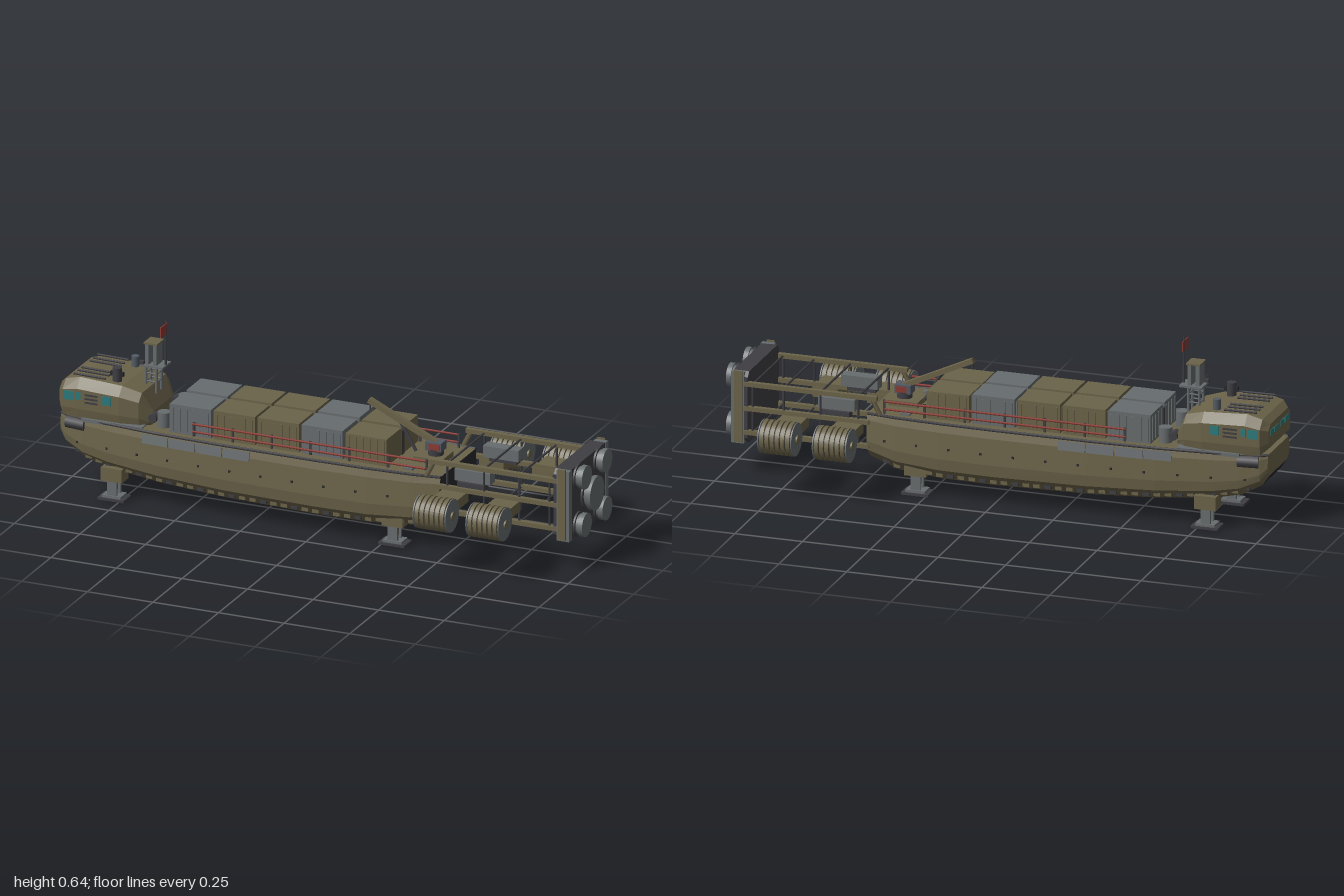
import * as THREE from 'three';

const mat = (name, color) => Object.assign(new THREE.MeshStandardMaterial({ color }), { name });
const KHAKI = mat('khaki', 0x6b6349), GREY = mat('grey', 0x676c6e), DARK = mat('dark grey', 0x3f3e43),
  BLACK = mat('near black', 0x28282c), RED = mat('red', 0x8a3a32), TEAL = mat('teal glass', 0x2c7a7c),
  STEEL = mat('blue grey', 0x535a64);

export function createModel() {
  const model = new THREE.Group();
  model.name = 'cargoShip';

  const add = (name, geo, material) => {
    const m = new THREE.Mesh(geo, material);
    m.name = name;
    model.add(m);
    return m;
  };
  // box given by its limits
  const box = (name, material, x0, x1, y0, y1, z0, z1) => {
    const m = add(name, new THREE.BoxGeometry(x1 - x0, y1 - y0, Math.abs(z1 - z0)), material);
    m.position.set((x0 + x1) / 2, (y0 + y1) / 2, (z0 + z1) / 2);
    return m;
  };
  // round or square bar between two points
  const bar = (name, material, a, b, r, sides = 8, r2 = r) => {
    const p = new THREE.Vector3(...a), q = new THREE.Vector3(...b), d = q.clone().sub(p);
    const m = add(name, new THREE.CylinderGeometry(r2, r, d.length(), sides), material);
    m.position.copy(p).add(q).multiplyScalar(0.5);
    m.quaternion.setFromUnitVectors(new THREE.Vector3(0, 1, 0), d.normalize());
    return m;
  };
  // loft along x: half sections [z, y] run from the keel up to the deck and are mirrored
  const loft = (name, stations, half, segMats, capMats, materials) => {
    const rings = stations.map(s => {
      const h = half(s);
      return [...h, ...h.map(([z, y]) => [-z, y]).reverse()].map(([z, y]) => [s[0], y, z]);
    });
    const parts = materials.map(() => []), n = rings[0].length;
    const tri = (k, ...p) => parts[k].push(...p.flat());
    for (let i = 0; i + 1 < rings.length; i++) for (let j = 0; j < n; j++) {
      const k = (j + 1) % n, a = rings[i][j], b = rings[i][k], c = rings[i + 1][k], d = rings[i + 1][j];
      tri(segMats[j], a, d, c);
      tri(segMats[j], a, c, b);
    }
    const f = rings[0], l = rings[rings.length - 1];
    for (let j = 1; j + 1 < n; j++) {
      tri(capMats[0], f[0], f[j], f[j + 1]);
      tri(capMats[1], l[0], l[j + 1], l[j]);
    }
    const geo = new THREE.BufferGeometry();
    let start = 0;
    parts.forEach((p, k) => { geo.addGroup(start, p.length / 3, k); start += p.length / 3; });
    geo.setAttribute('position', new THREE.Float32BufferAttribute(parts.flat(), 3));
    geo.computeVertexNormals();
    return add(name, geo, materials);
  };

  // hull stations: x, half width, keel height
  const hull = [[-0.995, 0.115, 0.2], [-0.97, 0.13, 0.163], [-0.9, 0.145, 0.125], [-0.8, 0.158, 0.104],
    [-0.6, 0.178, 0.086], [-0.35, 0.188, 0.073], [0, 0.19, 0.066], [0.2, 0.186, 0.067], [0.36, 0.177, 0.08], [0.47, 0.162, 0.115]];
  loft('hull', hull, ([, w, b]) => [[0.76, 0], [0.97, 0.2], [1, 0.4], [0.97, 0.85], [0.93, 1]]
    .map(([k, t]) => [w * k, b + (0.28 - b) * t]), [0, 0, 0, 0, 0, 0, 0, 0, 0, 1], [0, 1], [KHAKI, BLACK]);
  const hullAt = x => {
    const i = Math.max(1, hull.findIndex(s => s[0] >= x)), a = hull[i - 1], b = hull[i];
    const t = (x - a[0]) / (b[0] - a[0]);
    return [a[1] + (b[1] - a[1]) * t, a[2] + (b[2] - a[2]) * t];
  };

  for (const s of [1, -1]) {
    // deck edge rail, hull studs and keel fittings follow the hull outline
    for (let i = 0; i < hull.length - 1; i++) {
      const [a, b] = [hull[i], hull[i + 1]];
      bar('deckEdge', DARK, [a[0], 0.279, s * a[1] * 0.935], [b[0], 0.279, s * b[1] * 0.935], 0.005, 6);
    }
    for (let i = 0; i < 34; i++) {
      const x = -0.92 + i * 0.04, [w, b] = hullAt(x);
      box('keelFitting', i % 3 ? KHAKI : DARK, x - 0.012, x + 0.012, b + 0.012, b + 0.03, s * w * 0.8, s * (w * 0.865 + 0.004));
      if (i % 3 === 0) box('hullStud', BLACK, x - 0.004, x + 0.004, 0.186, 0.194, s * (w - 0.008), s * (w + 0.001));
    }
    // grey flank panels
    for (let x = -0.66; x < -0.3; x += 0.105) {
      const w = (hullAt(x)[0] + hullAt(x + 0.1)[0]) / 2;
      const p = box('flankPanel', GREY, x, x + 0.1, 0.238, 0.27, s * (w * 0.966 - 0.002), s * (w * 0.966 + 0.004));
      p.rotation.x = -s * 0.15;
      p.rotation.y = -s * Math.atan2(hullAt(x + 0.1)[0] - hullAt(x)[0], 0.1);
    }
    // red cargo pipes
    for (const y of [0.298, 0.326]) bar('cargoPipe', RED, [-0.48, y, s * 0.141], [0.41, y, s * 0.141], 0.004, 6);
    for (let x = -0.48; x < 0.42; x += 0.148) box('pipeBracket', DARK, x, x + 0.008, 0.28, 0.332, s * 0.135, s * 0.14);
  }

  // containers, two rows of five
  [GREY, KHAKI, KHAKI, GREY, KHAKI].forEach((m, i) => {
    const x = -0.57 + i * 0.1675;
    for (const s of [1, -1]) {
      box('container', m, x, x + 0.157, 0.28, i === 4 ? 0.38 : 0.386, s * 0.009, s * 0.134);
      for (let k = 0; k < 6; k++) {
        const rx = x + 0.008 + k * 0.0265;
        box('containerRib', m, rx, rx + 0.008, 0.288, 0.374, s * 0.132, s * 0.1375);
      }
      for (let k = 0; k < 4; k++) box('containerEndRib', m, x - 0.003, x, 0.288, 0.374, s * (0.02 + k * 0.03), s * (0.028 + k * 0.03));
    }
    box('containerGap', DARK, x - 0.004, x + 0.161, 0.28, 0.372, -0.009, 0.009);
  });

  // bridge cabin
  const cabin = [[-0.998, 0.115, 0.305, 0.39], [-0.975, 0.142, 0.285, 0.41], [-0.92, 0.144, 0.28, 0.424], [-0.76, 0.144, 0.28, 0.415],
    [-0.69, 0.13, 0.28, 0.395], [-0.655, 0.1, 0.28, 0.325]];
  loft('bridgeCabin', cabin, ([, w, b, t]) => [[0.95, 0], [1, 0.25], [1, 0.76], [0.79, 1]]
    .map(([k, f]) => [w * k, b + (t - b) * f]), Array(8).fill(0), [0, 0], [KHAKI]);
  box('cabinBase', GREY, -0.9, -0.67, 0.272, 0.284, -0.148, 0.148);
  box('sensorBlock', GREY, -0.88, -0.72, 0.455, 0.456, -0.002, 0.002).visible = false;
  for (const s of [1, -1]) {
    box('sideWindow', TEAL, -0.968, -0.93, 0.345, 0.378, s * 0.142, s * 0.146);
    box('sideWindow', TEAL, -0.925, -0.905, 0.35, 0.378, s * 0.142, s * 0.146);
    box('aftWindow', TEAL, -0.825, -0.79, 0.345, 0.378, s * 0.142, s * 0.146);
    for (let i = 0; i < 3; i++) box('sideVent', DARK, -0.89, -0.84, 0.34 + i * 0.014, 0.347 + i * 0.014, s * 0.142, s * 0.146);
    bar('chinPod', DARK, [-0.965, 0.255, s * 0.118], [-0.89, 0.255, s * 0.128], 0.025, 10);
    // front windows
    for (let i = 0; i < 2; i++) box('frontWindow', TEAL, -1, -0.996, 0.347, 0.367, s * (0.012 + i * 0.045), s * (0.05 + i * 0.045));
    // roof rails
    for (const z of [0.035, 0.065, 0.1]) bar('roofRail', DARK, [-0.95, 0.428, s * z], [-0.83, 0.426, s * z], 0.004, 6);
    // deck winches behind the cabin
    bar('winch', GREY, [-0.61, 0.28, s * 0.09], [-0.61, 0.335, s * 0.09], 0.024, 12);
    bar('winchDrum', DARK, [-0.645, 0.31, s * 0.075], [-0.645, 0.31, s * 0.115], 0.016, 10);
    box('deckHatch', GREY, 0.32, 0.355, 0.28, 0.288, s * 0.105, s * 0.135);
  }
  bar('roofTurret', DARK, [-0.795, 0.41, 0.077], [-0.795, 0.466, 0.077], 0.017, 16);
  box('turretArm', BLACK, -0.82, -0.77, 0.435, 0.45, 0.07, 0.084);
  bar('roofVent', STEEL, [-0.795, 0.41, -0.078], [-0.795, 0.455, -0.078], 0.014, 16);

  // mast with its lattice, aerial and flag
  for (const x of [-0.71, -0.67]) for (const z of [-0.021, 0.021]) bar('mastLeg', GREY, [x, 0.37, z], [x, 0.47, z], 0.005, 6);
  for (const y of [0.41, 0.44]) {
    for (const z of [-0.021, 0.021]) bar('mastBrace', GREY, [-0.71, y, z], [-0.67, y, z], 0.003, 6);
    for (const x of [-0.71, -0.67]) bar('mastBrace', GREY, [x, y, -0.021], [x, y, 0.021], 0.003, 6);
  }
  box('mastPlatform', GREY, -0.725, -0.64, 0.466, 0.473, -0.036, 0.036);
  for (const x of [-0.705, -0.675]) box('radarPanel', GREY, x - 0.007, x + 0.007, 0.473, 0.55, -0.027, 0.027);
  box('mastCap', KHAKI, -0.716, -0.664, 0.549, 0.555, -0.031, 0.031);
  box('mastLamp', DARK, -0.73, -0.715, 0.472, 0.485, 0.02, 0.034);
  bar('aerial', DARK, [-0.645, 0.47, 0], [-0.645, 0.64, 0], 0.005, 8, 0.002);
  box('flag', RED, -0.647, -0.643, 0.587, 0.625, -0.011, 0.044);

  // crane
  box('craneBase', KHAKI, 0.32, 0.43, 0.28, 0.3, -0.05, 0.05);
  bar('craneTurret', DARK, [0.385, 0.3, 0], [0.385, 0.325, 0], 0.028, 12);
  box('craneCab', STEEL, 0.355, 0.415, 0.318, 0.35, -0.024, 0.024);
  for (const s of [1, -1]) box('craneMark', RED, 0.37, 0.41, 0.323, 0.345, s * 0.024, s * 0.027);
  const boom = box('craneBoom', KHAKI, 0.118, 0.402, 0.394, 0.412, -0.011, 0.011);
  boom.rotation.z = -0.44;
  bar('craneRam', DARK, [0.31, 0.3, 0], [0.25, 0.4, 0], 0.006, 8);
  bar('craneHook', DARK, [0.135, 0.46, 0], [0.135, 0.43, 0], 0.003, 6);

  // tail truss
  const rods = [0.5, 0.64, 0.775, 0.89];
  for (const s of [1, -1]) {
    for (const [y, x0] of [[0.34, 0.43], [0.25, 0.46], [0.162, 0.46]]) box('trussBeam', KHAKI, x0, 0.92, y - 0.008, y + 0.008, s * 0.152, s * 0.17);
    bar('trussBrace', KHAKI, [0.42, 0.282, s * 0.161], [0.45, 0.34, s * 0.161], 0.009, 4);
    for (const x of rods) bar('trussPost', DARK, [x, 0.158, s * 0.161], [x, 0.345, s * 0.161], 0.004, 6);
    box('pumpBox', GREY, 0.52, 0.655, 0.275, 0.317, s * 0.1, s * 0.145);
    box('pumpBracket', DARK, 0.535, 0.64, 0.255, 0.275, s * 0.12, s * 0.158);
  }
  for (const x of rods) for (const y of [0.34, 0.162]) bar('trussTie', DARK, [x, y, -0.155], [x, y, 0.155], 0.004, 6);

  // ribbed side tanks on arms
  for (const s of [1, -1]) for (const x of [0.53, 0.732]) {
    const z = s * 0.328, y = 0.217;
    box('tankArm', KHAKI, x - 0.046, x + 0.046, 0.205, 0.243, s * 0.15, s * 0.29);
    bar('tankStrut', KHAKI, [x, 0.185, s * 0.245], [x, 0.222, s * 0.185], 0.008, 4);
    bar('tankCore', BLACK, [x - 0.06, y, z], [x + 0.06, y, z], 0.053, 24);
    for (let i = 0; i < 6; i++) {
      const rx = x - 0.055 + i * 0.0192;
      bar('tankRib', KHAKI, [rx, y, z], [rx + 0.014, y, z], 0.061, 24);
    }
    for (const e of [1, -1]) {
      bar('tankEnd', GREY, [x + e * 0.059, y, z], [x + e * 0.063, y, z], 0.06, 24);
      bar('tankHub', KHAKI, [x + e * 0.062, y, z], [x + e * 0.069, y, z], 0.015, 16);
    }
  }

  // engine block: octagonal plate, side posts and five nozzles
  const plate = new THREE.Shape([[-0.145, 0.12], [0.145, 0.12], [0.165, 0.14], [0.165, 0.365], [0.148, 0.382], [-0.148, 0.382], [-0.165, 0.365], [-0.165, 0.14]]
    .map(p => new THREE.Vector2(...p)));
  const plateMesh = add('enginePlate', new THREE.ExtrudeGeometry(plate, { depth: 0.058, bevelEnabled: false }), DARK);
  plateMesh.rotation.y = Math.PI / 2;
  plateMesh.position.x = 0.907;
  for (const s of [1, -1]) {
    box('enginePost', GREY, 0.92, 0.968, 0.12, 0.382, s * 0.146, s * 0.168);
    box('enginePostTrim', KHAKI, 0.925, 0.955, 0.125, 0.388, s * 0.168, s * 0.173);
  }
  const nozzle = (y, z, r) => {
    bar('nozzleCollar', DARK, [0.962, y, z], [0.972, y, z], r * 1.05, 24);
    bar('nozzleBody', GREY, [0.97, y, z], [0.982, y, z], r * 0.85, 24);
    bar('nozzleRim', GREY, [0.982, y, z], [1, y, z], r, 24);
  };
  nozzle(0.25, 0, 0.062);
  for (const y of [0.34, 0.162]) for (const z of [-0.088, 0.088]) nozzle(y, z, 0.043);

  // landing legs
  for (const x of [-0.78, 0.29]) for (const s of [1, -1]) {
    box('legHousing', KHAKI, x - 0.04, x + 0.04, 0.07, 0.12, s * 0.105, s * 0.163);
    for (const z of [0.12, 0.154]) box('legStrut', GREY, x - 0.018, x + 0.018, 0.012, 0.08, s * (z - 0.005), s * (z + 0.005));
    box('legPiston', KHAKI, x - 0.012, x + 0.012, 0.035, 0.08, s * 0.13, s * 0.144);
    box('footTop', GREY, x - 0.036, x + 0.036, 0.008, 0.018, s * 0.11, s * 0.164);
    box('foot', DARK, x - 0.05, x + 0.05, 0, 0.009, s * 0.104, s * 0.17);
  }
  const junk = model.getObjectByName('sensorBlock');
  model.remove(junk);
  return model;
}
